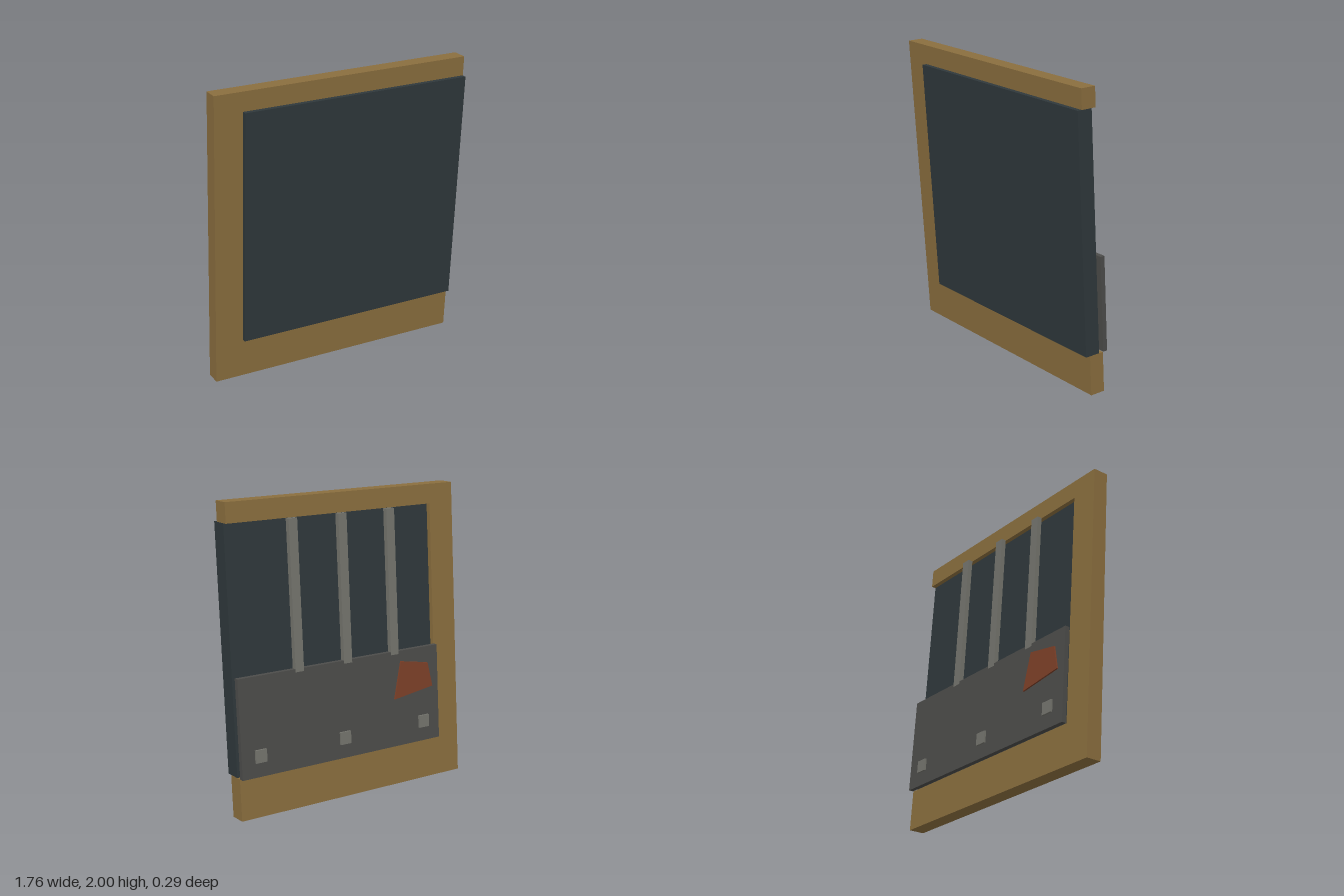
import * as THREE from 'three';

const LEAN = 0.0675; // forward shift in z per unit of height

const mat = (color) => new THREE.MeshStandardMaterial({ color, flatShading: true });
const wood = mat(0x8a6e3e);
const slate = mat(0x2f383b);
const iron = mat(0x4c4c4a);
const steel = mat(0x74746d);
const rust = mat(0x7d4028);

// Flat outline in x/y, thickened from zBack to zFront, then sheared so it leans with level ends
function slab(name, points, zBack, zFront, material) {
  const shape = new THREE.Shape(points.map(([x, y]) => new THREE.Vector2(x, y)));
  const geo = new THREE.ExtrudeGeometry(shape, { depth: zFront - zBack, bevelEnabled: false });
  geo.translate(0, 0, zBack);
  const p = geo.attributes.position;
  for (let i = 0; i < p.count; i++) p.setZ(i, p.getZ(i) + LEAN * (p.getY(i) - 1));
  geo.computeVertexNormals();
  const mesh = new THREE.Mesh(geo, material);
  mesh.name = name;
  return mesh;
}

const rect = (x0, x1, y0, y1) => [[x0, y0], [x1, y0], [x1, y1], [x0, y1]];

export function createModel() {
  const group = new THREE.Group();
  group.name = 'leaningPanel';

  // C-shaped frame, open on the +x side
  group.add(slab('frame', [
    [-0.88, 0], [0.88, 0], [0.88, 0.275], [-0.69, 0.275],
    [-0.69, 1.87], [0.88, 1.87], [0.88, 2], [-0.88, 2],
  ], -0.0535, 0.0535, wood));

  // Dark infill, proud of the frame in front and recessed behind
  group.add(slab('infillPanel', rect(-0.69, 0.88, 0.275, 1.87), -0.022, 0.086, slate));

  // Lower backing plate
  group.add(slab('backPlate', rect(-0.69, 0.88, 0.275, 0.92), -0.089, -0.057, iron));

  // Upright bars above the plate
  [-0.333, 0.047, 0.422].forEach((x, i) => {
    group.add(slab(`bar${i + 1}`, rect(x - 0.032, x + 0.032, 0.9, 1.87), -0.09, -0.057, steel));
  });

  // Square bolts along the plate
  [-0.555, 0.095, 0.742].forEach((x, i) => {
    group.add(slab(`bolt${i + 1}`, rect(x - 0.041, x + 0.041, 0.37, 0.453), -0.102, -0.086, steel));
  });

  // Uneven rust patch
  group.add(slab('rustPatch', [
    [-0.635, 0.645], [-0.315, 0.6], [-0.375, 0.85], [-0.6, 0.81],
  ], -0.1, -0.086, rust));

  return group;
}
